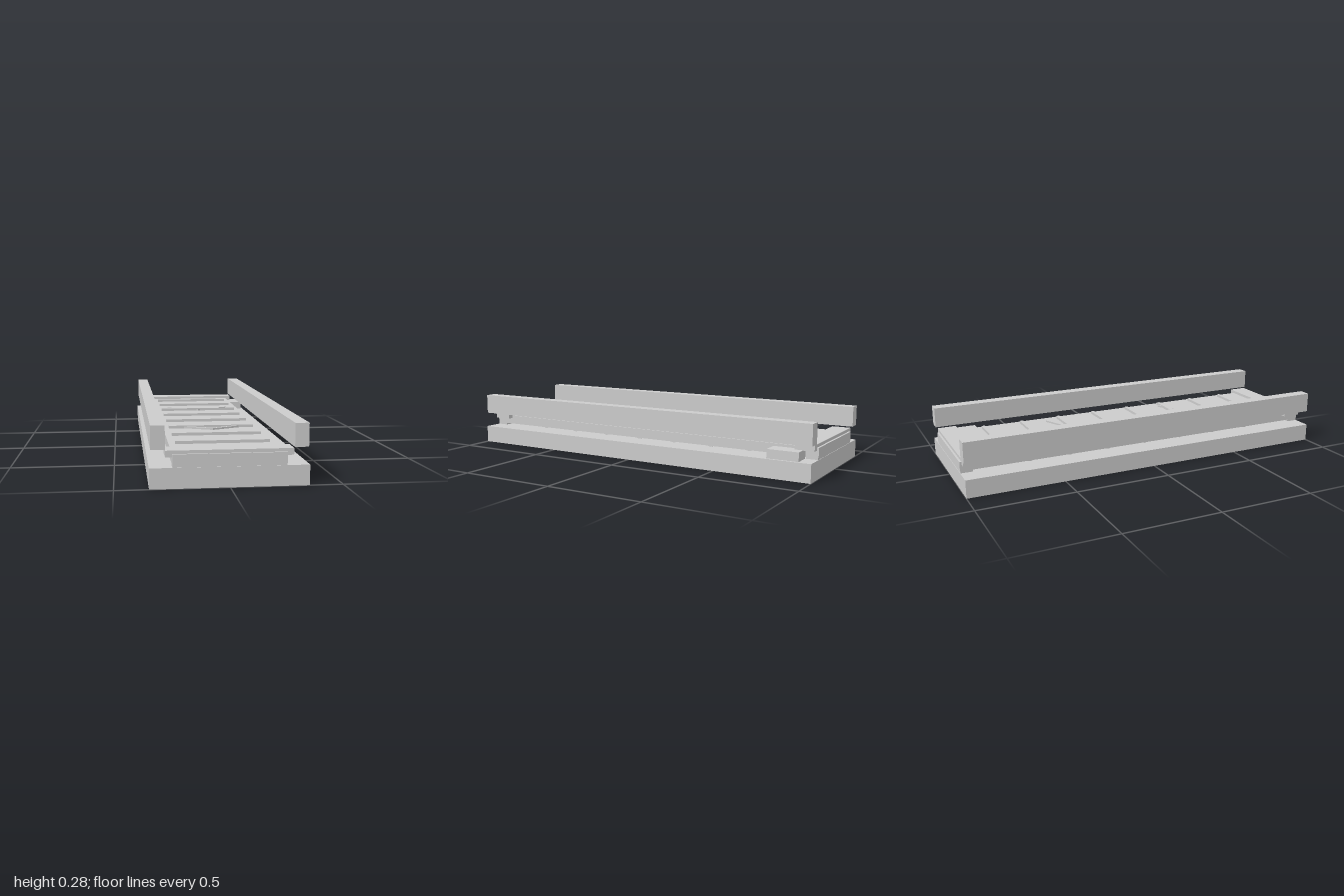
import * as THREE from 'three';

export function createModel() {
  const model = new THREE.Group();
  const material = new THREE.MeshStandardMaterial({ color: 0xcccccc, flatShading: true });

  const add = (name, geometry) => {
    const mesh = new THREE.Mesh(geometry, material);
    mesh.name = name;
    model.add(mesh);
    return mesh;
  };
  // Box given by its lower and upper limits on each axis
  const box = (name, x0, x1, y0, y1, z0, z1) => {
    const mesh = add(name, new THREE.BoxGeometry(x1 - x0, y1 - y0, z1 - z0));
    mesh.position.set((x0 + x1) / 2, (y0 + y1) / 2, (z0 + z1) / 2);
    return mesh;
  };

  // Base slab and conveyor bed
  box('base', -0.35, 0.35, 0, 0.092, -1, 1);
  box('beltBed', -0.25, 0.25, 0.102, 0.15, -1, 1);

  // Side rails
  box('leftRail', 0.281, 0.343, 0.171, 0.276, -1, 1);
  box('rightRail', -0.343, -0.281, 0.171, 0.276, -1, 1);

  // End caps over the bed and feet below it
  for (const [side, s] of [['front', 1], ['back', -1]]) {
    const span = (a, b) => [Math.min(s * a, s * b), Math.max(s * a, s * b)];
    box(side + 'Cap', -0.28, 0.28, 0.135, 0.165, ...span(0.893, 0.99));
    box(side + 'Foot', -0.25, 0.25, 0.092, 0.102, ...span(0.938, 0.998));
  }

  // Motor housing at the rear
  box('motorHousing', 0.25, 0.337, 0.092, 0.137, -0.935, -0.775);

  // Cleats across the belt
  for (let i = 0; i < 8; i++) {
    const z = -0.756 + i * 0.216;
    box('beltCleat', -0.22, 0.22, 0.15, 0.164, z - 0.009, z + 0.009);
  }

  // Rollers that show just under the bed
  for (let i = -3; i <= 3; i++) {
    const roller = add('roller', new THREE.CylinderGeometry(0.024, 0.024, 0.475, 12));
    roller.rotation.z = Math.PI / 2;
    roller.position.set(0, 0.118, i * 0.214);
  }

  // Direction chevrons, pointing to the front
  const chevron = new THREE.Shape([
    [-0.18, -0.1], [0, -0.018], [0.18, -0.1], [0.18, -0.085], [0, 0], [-0.18, -0.085],
  ].map(([x, z]) => new THREE.Vector2(x, -z)));
  for (const z of [0.4, -0.31]) {
    const mark = add('directionChevron', new THREE.ExtrudeGeometry(chevron, { depth: 0.009, bevelEnabled: false }));
    mark.rotation.x = -Math.PI / 2;
    mark.position.set(0, 0.15, z);
  }

  return model;
}
